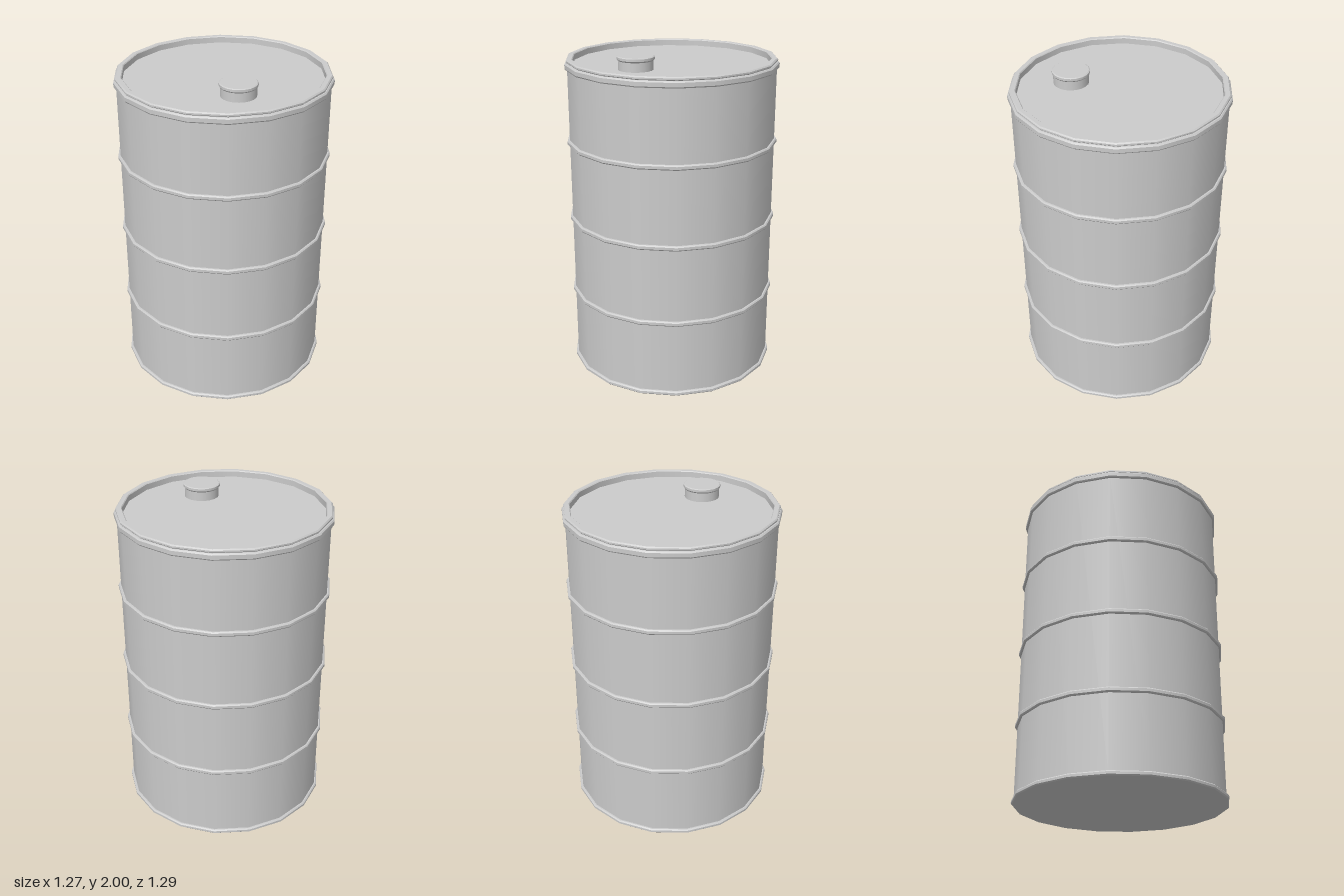
import * as THREE from 'three';
import { mergeGeometries } from 'three/addons/utils/BufferGeometryUtils.js';

const SIDES = 18;
const BODY_R = 0.63;
const BEAD_R = 0.645;
const LID_Y = 1.92;

const material = new THREE.MeshStandardMaterial({ color: 0xcccccc });

// Turned part: smooth around the axis, sharp between profile segments
function turned(name, profile, sides = SIDES) {
  const bands = [];
  for (let i = 0; i < profile.length - 1; i++) {
    const pair = [profile[i], profile[i + 1]].map(([r, y]) => new THREE.Vector2(r, y));
    bands.push(new THREE.LatheGeometry(pair, sides));
  }
  const mesh = new THREE.Mesh(mergeGeometries(bands), material);
  mesh.name = name;
  return mesh;
}

export function createModel() {
  const drum = new THREE.Group();
  drum.name = 'drum';

  // Straight wall
  drum.add(turned('body', [[BODY_R, 0.02], [BODY_R, 1.91]]));

  // Closed bottom with its rolled edge
  drum.add(turned('base', [
    [0, 0], [0.638, 0], [BEAD_R, 0.007], [BEAD_R, 0.021], [0.638, 0.028], [BODY_R, 0.028],
  ]));

  // Raised hoops around the wall
  for (const y of [0.487, 0.971, 1.455]) {
    drum.add(turned('hoop', [
      [BODY_R, y - 0.015], [0.639, y - 0.015], [BEAD_R, y - 0.008],
      [BEAD_R, y + 0.008], [0.639, y + 0.015], [BODY_R, y + 0.015],
    ]));
  }

  // Top rim: thick bead, narrower lip and inner wall
  drum.add(turned('rim', [
    [BODY_R, 1.9], [0.64, 1.9], [BEAD_R, 1.907], [BEAD_R, 1.931], [0.638, 1.939],
    [0.63, 1.939], [0.635, 1.944], [0.635, 1.953], [0.628, 1.96],
    [0.602, 1.96], [0.597, 1.955], [0.597, LID_Y],
  ]));

  // Sunken lid
  drum.add(turned('lid', [[0.597, LID_Y], [0, LID_Y]]));

  // Filler cap with a slight flange
  const cap = turned('fillerCap', [
    [0.104, LID_Y], [0.104, 1.974], [0.111, 1.982], [0.111, 1.996], [0.105, 2], [0, 2],
  ], 20);
  cap.position.set(0.167, 0, 0.25);
  drum.add(cap);

  return drum;
}
